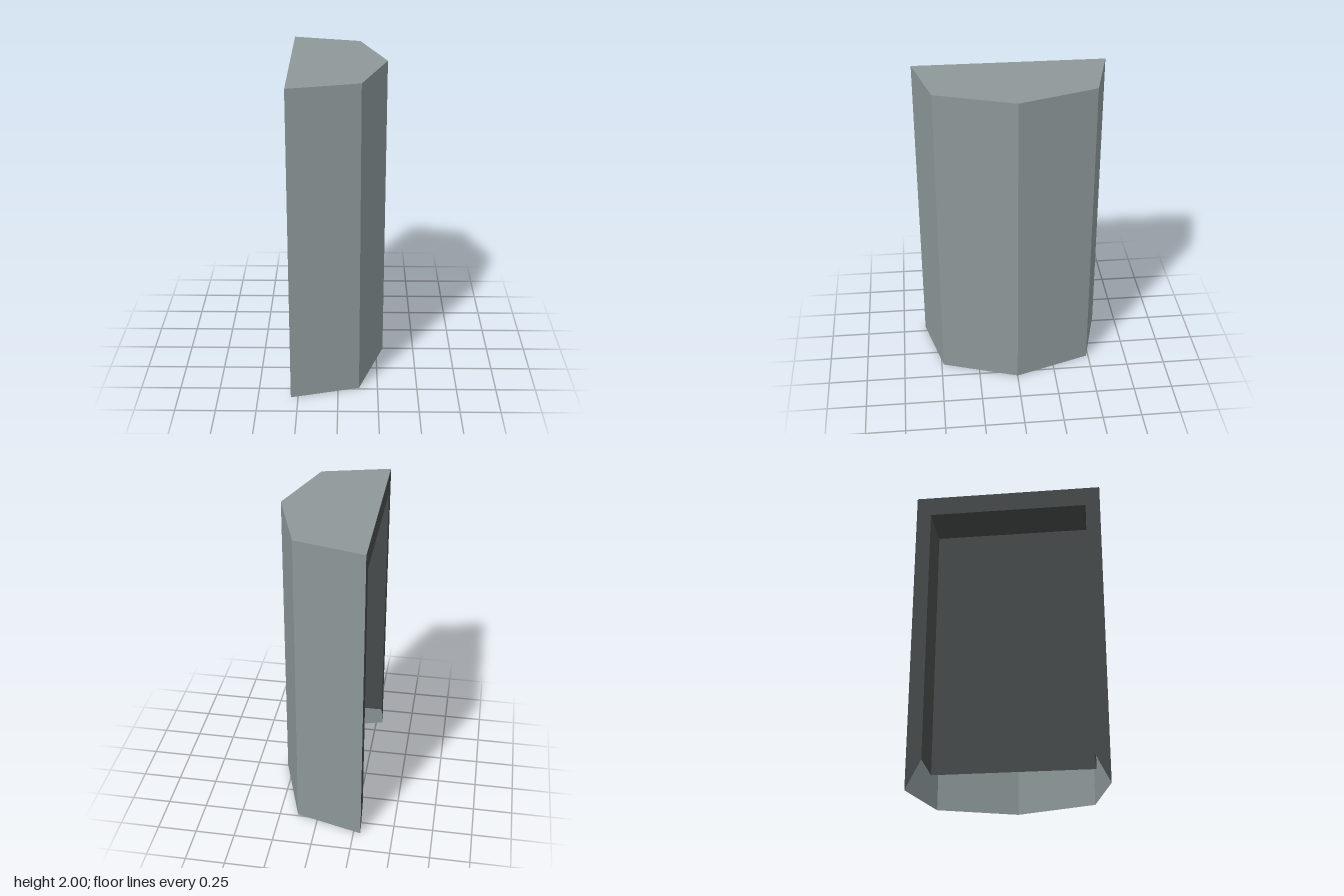
import * as THREE from 'three';

const shellMat = new THREE.MeshStandardMaterial({ color: 0x8d9899, side: THREE.DoubleSide });
shellMat.name = 'grey shell';
const darkMat = new THREE.MeshStandardMaterial({ color: 0x474b4b, side: THREE.DoubleSide });
darkMat.name = 'dark recess';

// Flat convex panel from corners given counter-clockwise
function panel(name, corners, material) {
  const pos = [];
  for (let i = 1; i < corners.length - 1; i++) pos.push(...corners[0], ...corners[i], ...corners[i + 1]);
  const geo = new THREE.BufferGeometry();
  geo.setAttribute('position', new THREE.Float32BufferAttribute(pos, 3));
  geo.computeVertexNormals();
  const mesh = new THREE.Mesh(geo, material);
  mesh.name = name;
  return mesh;
}

// Upright walls following a plan outline of [x, z] points, with a flat cover
function walls(name, plan, y0, y1, material) {
  const group = new THREE.Group();
  group.name = name;
  for (let i = 0; i < plan.length - 1; i++) {
    const [ax, az] = plan[i], [bx, bz] = plan[i + 1];
    group.add(panel(name + 'Wall', [[ax, y0, az], [bx, y0, bz], [bx, y1, bz], [ax, y1, az]], material));
  }
  group.add(panel(name + 'Cover', plan.map(([x, z]) => [x, y1, z]), material));
  return group;
}

export function createModel() {
  const model = new THREE.Group();
  model.name = 'hollowFacetedPillar';
  const back = -0.295, top = 2;

  // Outer faceted shell, open underneath
  const outline = [[back, 0.6], [0.133, 0.487], [0.295, 0], [0.133, -0.487], [back, -0.6]];
  model.add(walls('shell', outline, 0, top, shellMat));

  // Box-shaped recess, open at the side and bottom
  const w = 0.507, low = 0.185, high = 1.87, deep = 0.007;
  const recess = [[back, -w], [deep, -w], [deep, w], [back, w]];
  model.add(walls('recess', recess, low, high, darkMat));

  // Rim joining the shell to the recess: two posts and a header
  const inner = [[w, low], [w, high], [-w, high], [-w, low]];
  const outer = [[0.6, 0], [0.6, top], [-0.6, top], [-0.6, 0]];
  const at = ([z, y]) => [back, y, z];
  for (let i = 0; i < 3; i++) {
    const corners = [inner[i], outer[i], outer[i + 1], inner[i + 1]].map(at);
    model.add(panel(i === 1 ? 'rimHeader' : 'rimPost', corners, darkMat));
  }
  return model;
}
